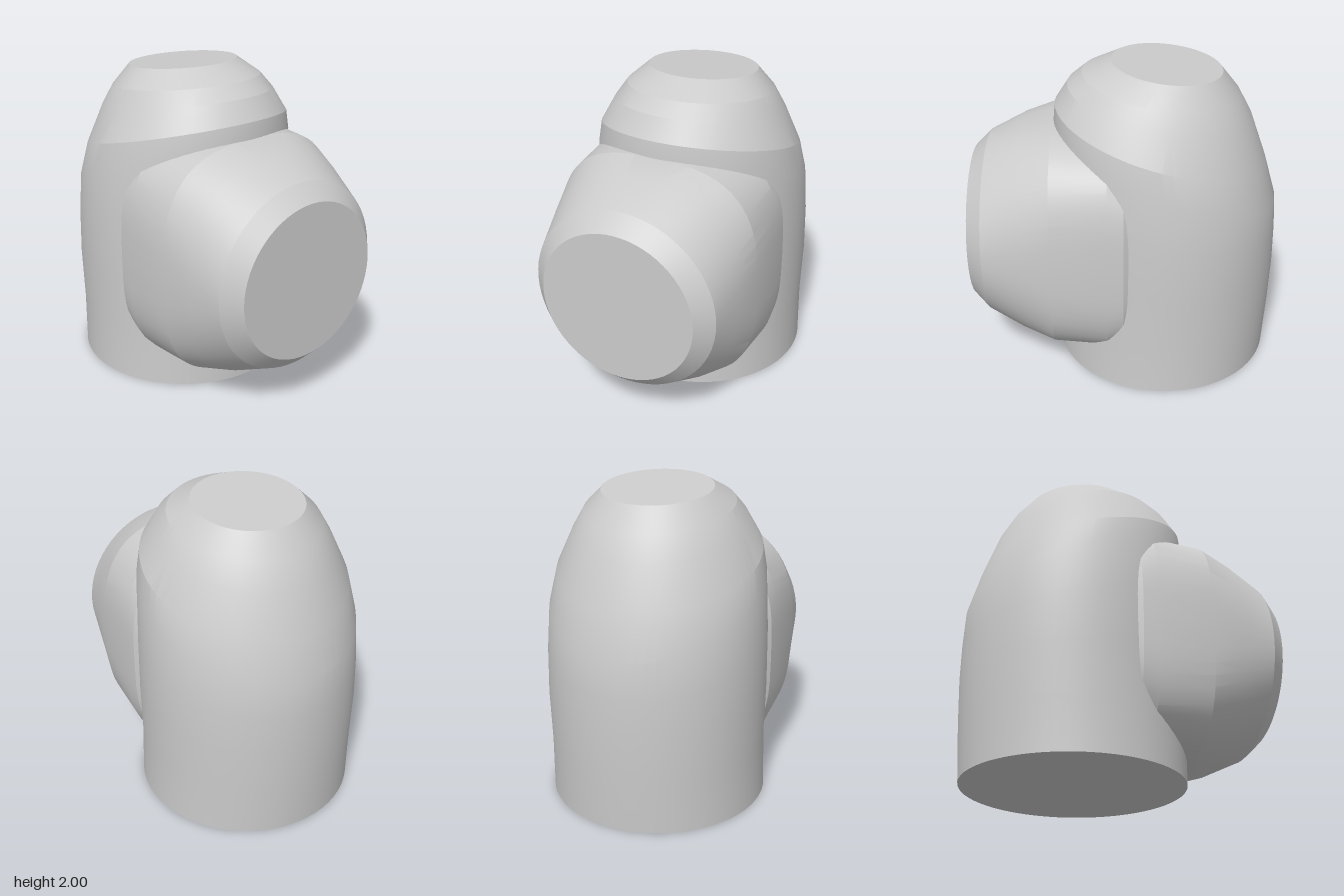
import * as THREE from 'three';
import { toCreasedNormals } from 'three/addons/utils/BufferGeometryUtils.js';

const SEGMENTS = 64;

// Skin a row of closed rings, each given by point(ring, angle), and cap both ends.
function loft(rings, point) {
  const positions = [];
  const indices = [];
  for (const ring of rings) {
    for (let i = 0; i < SEGMENTS; i++) positions.push(...point(ring, (i / SEGMENTS) * Math.PI * 2));
  }
  for (let r = 0; r < rings.length - 1; r++) {
    for (let i = 0; i < SEGMENTS; i++) {
      const j = (i + 1) % SEGMENTS;
      const a = r * SEGMENTS + i, b = r * SEGMENTS + j;
      const c = a + SEGMENTS, d = b + SEGMENTS;
      indices.push(a, b, d, a, d, c);
    }
  }
  const last = (rings.length - 1) * SEGMENTS;
  for (let i = 1; i < SEGMENTS - 1; i++) {
    indices.push(0, i + 1, i);
    indices.push(last, last + i, last + i + 1);
  }
  const geometry = new THREE.BufferGeometry();
  geometry.setAttribute('position', new THREE.Float32BufferAttribute(positions, 3));
  geometry.setIndex(indices);
  return toCreasedNormals(geometry, 0.25);
}

const signedPower = (v, p) => Math.sign(v) * Math.abs(v) ** p;

export function createModel() {
  const group = new THREE.Group();
  const material = new THREE.MeshStandardMaterial({ color: 0xcccccc });
  const add = (name, geometry) => {
    const mesh = new THREE.Mesh(geometry, material);
    mesh.name = name;
    group.add(mesh);
  };

  // Upright body: tilted elliptical rings [right x, right y, left x, left y, half depth]
  const bodyRings = [
    [-0.94, 0, 0.445, 0, 0.69],
    [-0.96, 0.35, 0.445, 0.35, 0.68],
    [-0.97, 0.65, 0.445, 0.75, 0.69],
    [-0.967, 0.88, 0.447, 1.2, 0.685],
    [-0.955, 1.1, 0.45, 1.62, 0.665],
    [-0.88, 1.36, 0.44, 1.72, 0.63],
    [-0.78, 1.64, 0.36, 1.845, 0.53],
    [-0.70, 1.79, 0.27, 1.92, 0.46],
    [-0.59, 1.93, 0.09, 2.0, 0.342],
  ];
  add('body', loft(bodyRings, ([x0, y0, x1, y1, depth], angle) => {
    const t = (1 + Math.cos(angle)) / 2;
    return [x0 + (x1 - x0) * t, y0 + (y1 - y0) * t, -depth * Math.sin(angle)];
  }));

  // Side outlet: rounded-square rings easing into a circle [x, half height, half depth, squareness]
  const outletRings = [
    [-0.06, 0.62, 0.63, 3.3],
    [0, 0.7, 0.668, 3.3],
    [0.1, 0.745, 0.675, 3.3],
    [0.445, 0.745, 0.675, 2.9],
    [0.65, 0.695, 0.637, 2.4],
    [0.87, 0.595, 0.595, 2],
    [0.935, 0.53, 0.53, 2],
    [0.97, 0.495, 0.495, 2],
  ];
  add('sideOutlet', loft(outletRings, ([x, height, depth, n], angle) => [
    x,
    0.872 + height * signedPower(Math.cos(angle), 2 / n),
    depth * signedPower(Math.sin(angle), 2 / n),
  ]));

  return group;
}
